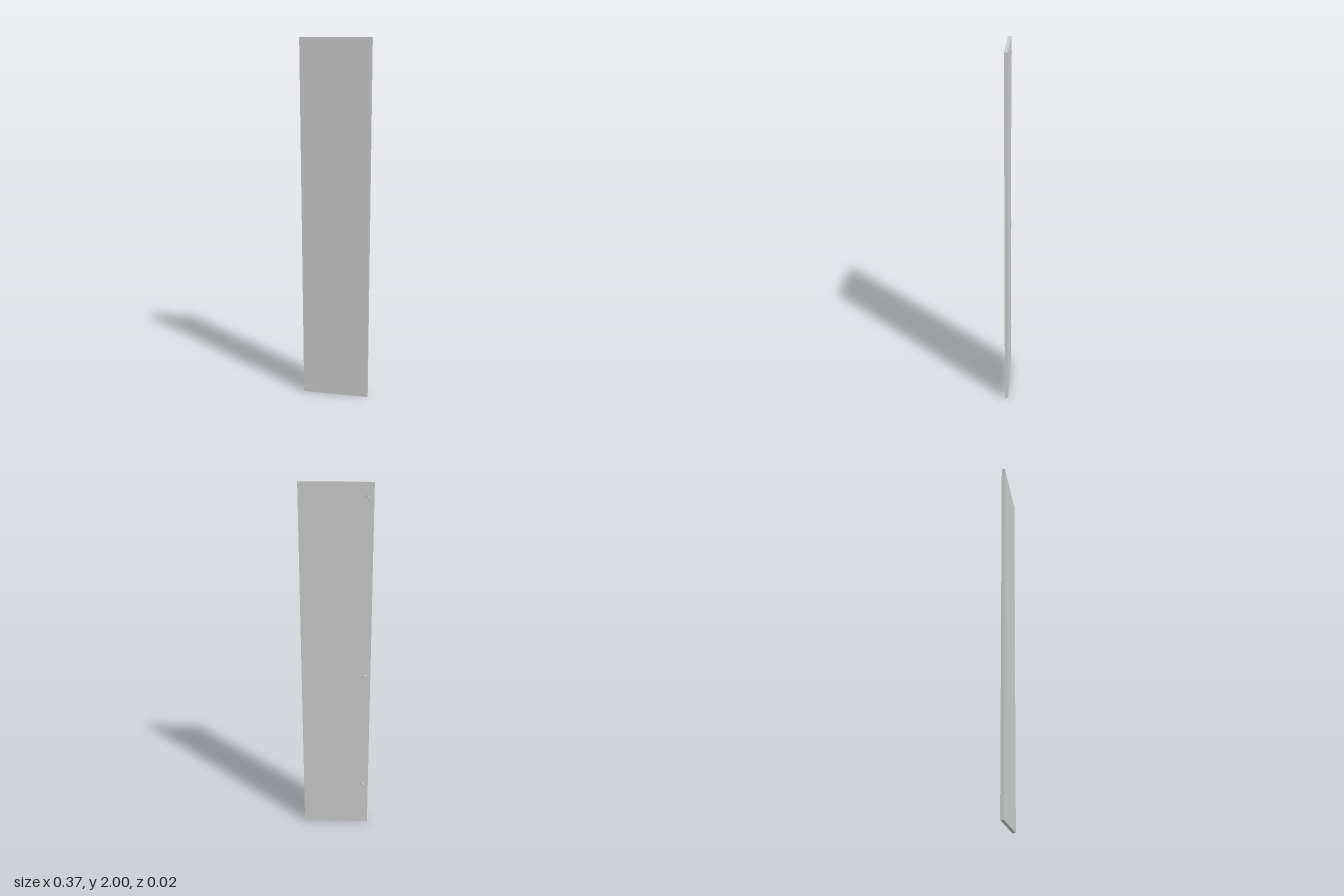
import * as THREE from 'three';

const BACK = -0.0065; // rear face of the door panel
const FRONT = 0.0115;

export function createModel() {
  const root = new THREE.Group();
  root.name = 'cabinetDoor';
  const mat = new THREE.MeshStandardMaterial({ color: 0xcccccc });

  const add = (parent, name, geo, x = 0, y = 0, z = 0) => {
    const mesh = new THREE.Mesh(geo, mat);
    mesh.name = name;
    mesh.position.set(x, y, z);
    parent.add(mesh);
    return mesh;
  };

  // Short cylinder lying along z
  const disc = (r, depth, sides = 20) =>
    new THREE.CylinderGeometry(r, r, depth, sides).rotateX(Math.PI / 2);

  // Door panel
  add(root, 'panel', new THREE.BoxGeometry(0.374, 2, FRONT - BACK), 0, 1, (FRONT + BACK) / 2);

  // Concealed hinges: mounting plate, cup rim, screws and curved arm
  const plateShape = new THREE.Shape();
  plateShape.moveTo(-0.004, -0.027);
  plateShape.lineTo(0.009, -0.027);
  plateShape.lineTo(0.009, -0.015);
  plateShape.quadraticCurveTo(0.021, 0, 0.009, 0.015);
  plateShape.lineTo(0.009, 0.027);
  plateShape.lineTo(-0.004, 0.027);
  plateShape.quadraticCurveTo(-0.008, 0.02, -0.012, 0.012);
  plateShape.lineTo(-0.012, -0.012);
  plateShape.quadraticCurveTo(-0.008, -0.02, -0.004, -0.027);
  const plateGeo = new THREE.ExtrudeGeometry(plateShape, { depth: 0.001, bevelEnabled: false });

  // Arm side profile: x across the door, height above its rear face
  const armShape = new THREE.Shape();
  armShape.moveTo(-0.014, 0);
  armShape.quadraticCurveTo(-0.006, 0.003, -0.002, 0.0043);
  armShape.quadraticCurveTo(0.004, 0.0056, 0.009, 0.0042);
  armShape.lineTo(0.014, 0.001);
  armShape.lineTo(0.014, 0);
  const armGeo = new THREE.ExtrudeGeometry(armShape, { depth: 0.014, bevelEnabled: false })
    .translate(0, 0, -0.007)
    .rotateX(-Math.PI / 2);

  for (const y of [0.268, 0.968, 1.93]) {
    const hinge = new THREE.Group();
    hinge.name = 'hinge';
    hinge.position.set(-0.158, y, BACK);
    root.add(hinge);
    add(hinge, 'hingePlate', plateGeo, 0, 0, -0.001);
    add(hinge, 'hingeCupRim', new THREE.TorusGeometry(0.0135, 0.0008, 6, 28), 0, 0, -0.001);
    add(hinge, 'hingeArm', armGeo);
    for (const s of [-1, 1]) {
      add(hinge, 'hingeScrew', disc(0.0038, 0.002), 0.003, s * 0.0215, -0.0015);
    }
  }

  // Small fixings at handle height on the rear face
  add(root, 'middleStud', disc(0.002, 0.003, 12), 0, 0.95, BACK - 0.001);
  add(root, 'latchPlate', new THREE.BoxGeometry(0.016, 0.006, 0.001), 0.142, 0.955, BACK - 0.0005);
  add(root, 'latchStud', disc(0.003, 0.003, 12), 0.147, 0.955, BACK - 0.001);

  return root;
}
